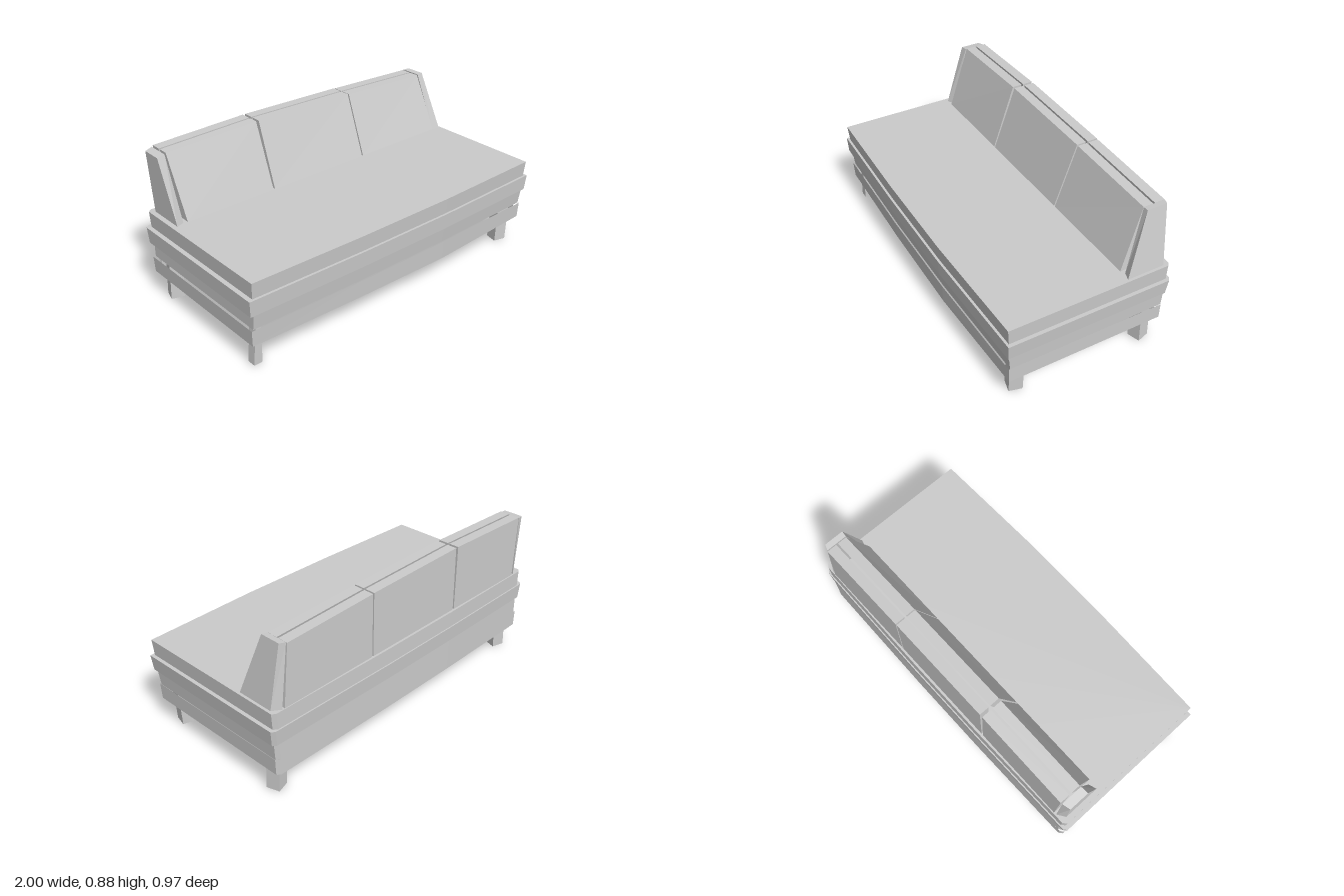
import * as THREE from 'three';

const material = new THREE.MeshStandardMaterial({ color: 0xcccccc, flatShading: true });

// Skin a list of rings (same point count); optionally cap the first and last.
function loft(name, rings, capped = true) {
  const pos = [];
  const tri = (a, b, c) => pos.push(...a, ...b, ...c);
  for (let r = 0; r + 1 < rings.length; r++) {
    const a = rings[r], b = rings[r + 1], n = a.length;
    for (let i = 0; i < n; i++) {
      const j = (i + 1) % n;
      tri(a[i], a[j], b[j]);
      tri(a[i], b[j], b[i]);
    }
  }
  if (capped) {
    const a = rings[0], b = rings[rings.length - 1];
    for (let i = 1; i + 1 < a.length; i++) {
      tri(a[0], a[i + 1], a[i]);
      tri(b[0], b[i], b[i + 1]);
    }
  }
  const geo = new THREE.BufferGeometry();
  geo.setAttribute('position', new THREE.Float32BufferAttribute(pos, 3));
  geo.computeVertexNormals();
  const mesh = new THREE.Mesh(geo, material);
  mesh.name = name;
  return mesh;
}

// Bowed outline of a plank course: x limits, front and back middle depth, height, sag of the front.
function outline(x0, x1, zf, zb, y, sag = 0, inset = 0) {
  const l = x0 + inset, r = x1 - inset, f = zf - inset, b = zb + inset;
  return [
    [l, y, f - 0.025], [-0.3, y - sag * 0.5, f - 0.005], [0.3, y - sag, f], [r, y, f - 0.015],
    [r, y, b + 0.025], [r - 0.02, y, b + 0.01], [0.2, y, b], [-0.3, y, b], [l + 0.02, y, b + 0.008], [l, y, b + 0.025],
  ];
}

// Four-cornered ring: x limits, front and back depth, heights at both x ends.
const quad = (x0, x1, zf, zb, y0, y1 = y0) => [[x0, y0, zf], [x1, y1, zf], [x1, y1, zb], [x0, y0, zb]];

// Square tapering leg turned about its own axis, flaring towards the foot.
function leg(name, x, z, turn, flare) {
  const ring = (cx, y, half) => [[-1, 1], [1, 1], [1, -1], [-1, -1]].map(([u, v]) => [
    cx + half * (u * Math.cos(turn) + v * Math.sin(turn)), y,
    z + half * (v * Math.cos(turn) - u * Math.sin(turn)),
  ]);
  return loft(name, [ring(x + flare, 0.005, 0.037), ring(x, 0.245, 0.037)]);
}

export function createModel() {
  const group = new THREE.Group();

  // Solid plank courses, from the seat down
  const courses = [
    { name: 'seatTop', y: [0.424, 0.515], low: [-0.975, 0.98, 0.472, -0.48], high: [-0.98, 0.985, 0.48, -0.48] },
    { name: 'upperPlanks', y: [0.334, 0.424], low: [-0.995, 0.99, 0.48, -0.48], high: [-1, 1, 0.485, -0.487] },
    { name: 'middlePlanks', y: [0.241, 0.334], low: [-0.97, 0.972, 0.458, -0.48], high: [-0.97, 0.978, 0.47, -0.48] },
  ];
  for (const c of courses) {
    group.add(loft(c.name, [outline(...c.low, c.y[0]), outline(...c.high, c.y[1])]));
  }

  // Lowest course is an open skirt whose front edge sags
  group.add(loft('skirt', [
    outline(-0.985, 0.975, 0.467, -0.48, 0.242, 0, 0.022),
    outline(-0.98, 0.972, 0.462, -0.48, 0.15, 0.018, 0.022),
    outline(-0.98, 0.972, 0.462, -0.48, 0.15, 0.018),
    outline(-0.985, 0.975, 0.467, -0.48, 0.242),
  ], false));

  // Legs: one is kite-shaped, the others are turned squares
  const kite = (y, dx) => [[-0.95 + dx, y, 0.41], [-0.91, y, 0.41], [-0.87, y, 0.33], [-0.95 + dx, y, 0.36]];
  group.add(loft('frontRightLeg', [kite(0.01, -0.01), kite(0.245, 0.01)]));
  group.add(leg('frontLeftLeg', 0.9, 0.37, -0.25, -0.013));
  group.add(leg('backRightLeg', -0.9, -0.382, -0.3, -0.01));
  group.add(leg('backLeftLeg', 0.9, -0.382, 0.3, 0.01));

  // Leaning front cushions, each with an upright back panel behind it
  const cushions = [
    { bottom: [-0.893, -0.345], top: [-0.91, -0.35], y: [0.874, 0.888] },
    { bottom: [-0.335, 0.308], top: [-0.333, 0.306], y: [0.888, 0.876] },
    { bottom: [0.316, 0.91], top: [0.314, 0.878], y: [0.874, 0.855] },
  ];
  for (const c of cushions) {
    group.add(loft('backCushion', [quad(...c.bottom, -0.215, -0.3, 0.524), quad(...c.top, -0.34, -0.396, ...c.y)]));
    group.add(loft('backPanel', [quad(...c.bottom, -0.425, -0.467, 0.515), quad(...c.top, -0.407, -0.465, ...c.y)]));
  }

  // Tapered end pieces closing the backrest
  group.add(loft('rightEnd', [
    [[-0.952, 0.515, -0.22], [-0.908, 0.515, -0.235], [-0.908, 0.515, -0.466], [-0.952, 0.515, -0.435]],
    [[-0.963, 0.862, -0.335], [-0.918, 0.868, -0.338], [-0.918, 0.868, -0.462], [-0.963, 0.862, -0.45]],
  ]));
  group.add(loft('leftEnd', [
    [[0.925, 0.515, -0.235], [0.97, 0.515, -0.22], [0.97, 0.515, -0.435], [0.925, 0.515, -0.466]],
    [[0.882, 0.858, -0.338], [0.915, 0.862, -0.335], [0.915, 0.862, -0.45], [0.882, 0.858, -0.462]],
  ]));

  return group;
}
